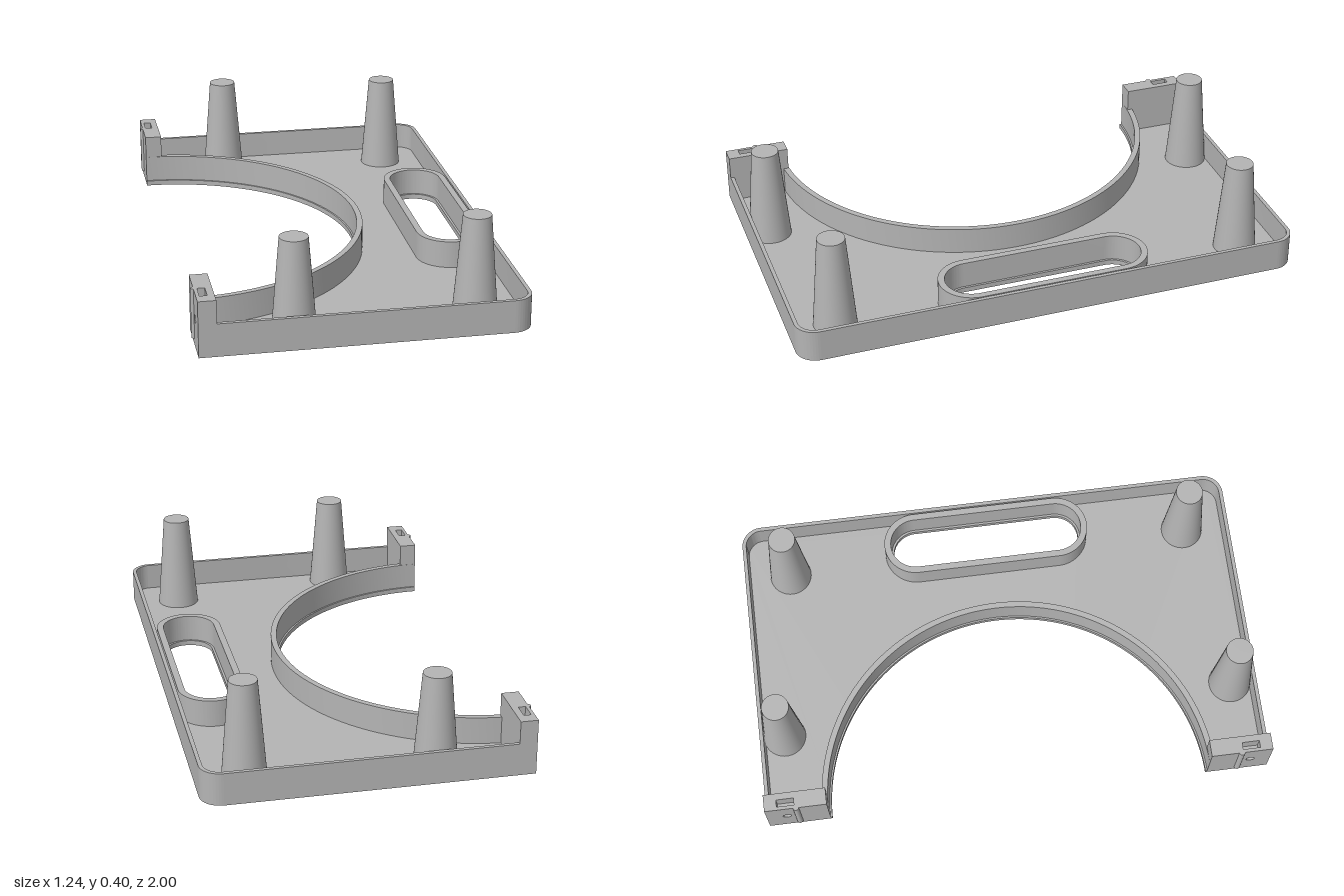
import * as THREE from 'three';
import { toCreasedNormals } from 'three/addons/utils/BufferGeometryUtils.js';

const L = -0.612, R = 0.62, FLOOR = 0.02, RIM = 0.127, BLOCK_TOP = 0.217;
const HALF = Math.PI / 2;

export function createModel() {
  const model = new THREE.Group();
  const grey = new THREE.MeshStandardMaterial({ color: 0xb4b4b4 });
  grey.name = 'grey plastic';

  const add = (name, geometry, parent = model) => {
    const mesh = new THREE.Mesh(geometry, grey);
    mesh.name = name;
    parent.add(mesh);
    return mesh;
  };
  const extrude = (shape, depth) =>
    new THREE.ExtrudeGeometry(shape, { depth, bevelEnabled: false, curveSegments: 40 });
  // Plan shape (x, -z) raised from y0 to y1
  const raise = (shape, y0, y1) =>
    toCreasedNormals(extrude(shape, y1 - y0).rotateX(-HALF).translate(0, y0, 0), 0.5);

  // Right-hand outline with two rounded corners, inset by t
  const outline = (path, t) => {
    const r = 0.08 - t, c = R - 0.08;
    path.moveTo(L, -1 + t);
    path.lineTo(c, -1 + t);
    path.absarc(c, -0.92, r, -HALF, 0, false);
    path.absarc(c, 0.92, r, 0, HALF, false);
    path.lineTo(L, 1 - t);
    return path;
  };
  // Long slot with round ends
  const slot = (path, r) => {
    path.absarc(0.47, 0.29, r, 0, Math.PI, false);
    path.absarc(0.47, -0.29, r, Math.PI, Math.PI * 2, false);
    path.closePath();
    return path;
  };
  const rect = (path, x0, x1, y0, y1) => {
    path.moveTo(x0, y0);
    path.lineTo(x1, y0);
    path.lineTo(x1, y1);
    path.lineTo(x0, y1);
    path.closePath();
    return path;
  };

  // Floor with the half-round cutout and the slot
  const floor = outline(new THREE.Shape(), 0);
  floor.lineTo(L, 0.75);
  floor.absarc(L, 0, 0.75, HALF, -HALF, true);
  floor.closePath();
  floor.holes.push(slot(new THREE.Path(), 0.095));
  add('floor', raise(floor, 0, FLOOR));

  // Thin rim around the three outer sides
  const rim = outline(new THREE.Shape(), 0);
  const inner = outline(new THREE.Path(), 0.015).getPoints(40).reverse();
  inner.forEach((p) => rim.lineTo(p.x, p.y));
  rim.closePath();
  add('outerRim', raise(rim, FLOOR, RIM));

  // Curved wall along the cutout
  const arc = new THREE.Shape();
  arc.absarc(L, 0, 0.78, -HALF, HALF, false);
  arc.absarc(L, 0, 0.757, HALF, -HALF, true);
  arc.closePath();
  add('cutoutWall', raise(arc, FLOOR, RIM));

  // Wall around the slot
  const slotWall = slot(new THREE.Shape(), 0.13);
  slotWall.holes.push(slot(new THREE.Path(), 0.104));
  add('slotWall', raise(slotWall, FLOOR, RIM));

  for (const s of [1, -1]) {
    const side = s > 0 ? 'front' : 'back';

    // Tapered pegs
    for (const [x, z] of [[-0.255, 0.907], [0.437, 0.82]]) {
      const peg = new THREE.CylinderGeometry(0.053, 0.084, 0.4 - FLOOR, 48);
      add(side + 'Peg', peg.translate(x, (0.4 + FLOOR) / 2, s * z));
    }

    // End block: drilled lower half, solid backing, slotted cap
    const block = new THREE.Group();
    block.name = side + 'EndBlock';
    model.add(block);
    const z0 = s > 0 ? 0.757 : -1, z1 = z0 + 0.243;
    const capY = 0.155, back = -0.57, end = -0.545;

    const face = rect(new THREE.Shape(), -z1, -z0, FLOOR, capY);
    const hole = new THREE.Path();
    hole.absarc(-s * 0.92, 0.115, 0.017, 0, Math.PI * 2, false);
    face.holes.push(hole);
    const drilled = extrude(face, back - L).rotateY(HALF).translate(L, 0, 0);
    add('drilledFace', toCreasedNormals(drilled, 0.5), block);

    const backing = new THREE.BoxGeometry(end - back, capY - FLOOR, z1 - z0);
    add('blockBacking', backing.translate((end + back) / 2, (capY + FLOOR) / 2, (z0 + z1) / 2), block);

    const cap = rect(new THREE.Shape(), L, end, -z1, -z0);
    const c = -s * 0.917;
    cap.holes.push(rect(new THREE.Path(), -0.599, -0.571, c - 0.034, c + 0.034));
    add('slottedCap', raise(cap, capY, BLOCK_TOP), block);

    // Locating ridge on the end face
    const ridge = new THREE.CylinderGeometry(0.012, 0.012, BLOCK_TOP - 0.025, 20);
    add('locatingRidge', ridge.translate(-0.61, (BLOCK_TOP + 0.025) / 2, s * 0.877), block);
  }
  return model;
}
